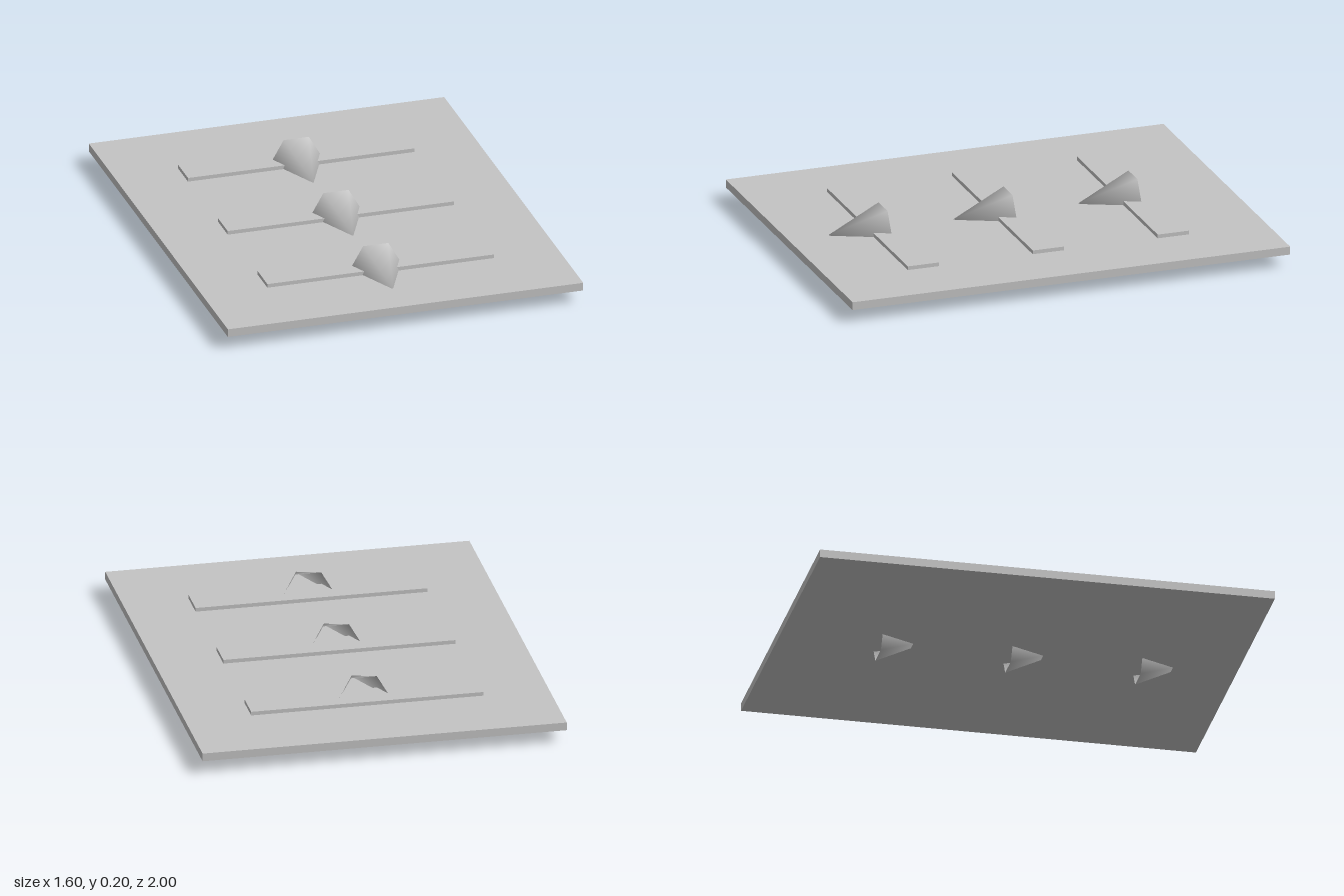
import * as THREE from 'three';
import { mergeVertices } from 'three/addons/utils/BufferGeometryUtils.js';

const R = 0.114;                 // spike radius (hexagon corner)
const LENGTH = 0.25;             // spike length
const AXIS_Y = R * Math.sin(Math.PI / 3);

// Open six-sided spike pointing along +z, smoothed around its sides and tip
function spikeGeometry() {
  let geo = new THREE.ConeGeometry(R, LENGTH, 6, 1, true);
  geo.rotateY(Math.PI / 2);      // corners to left and right, flats on top and bottom
  geo.translate(0, LENGTH / 2, 0);
  geo.rotateX(Math.PI / 2);
  geo.deleteAttribute('normal');
  geo.deleteAttribute('uv');
  geo = mergeVertices(geo, 1e-4);
  geo.computeVertexNormals();
  return geo;
}

export function createModel() {
  const model = new THREE.Group();
  const grey = new THREE.MeshStandardMaterial({ color: 0xc4c4c4, side: THREE.DoubleSide });
  grey.name = 'plain grey';

  const add = (name, geometry, x, y, z) => {
    const mesh = new THREE.Mesh(geometry, grey);
    mesh.name = name;
    mesh.position.set(x, y, z);
    model.add(mesh);
  };

  // Thin base board
  add('board', new THREE.BoxGeometry(1.6, 0.036, 2), 0, 0.077, 0);

  // Three rows, each a low cross bar with a spike through it
  const bar = new THREE.BoxGeometry(1.02, 0.018, 0.143);
  const spike = spikeGeometry();
  ['back', 'middle', 'front'].forEach((row, i) => {
    const z = (i - 1) * 0.571;
    add(row + 'Bar', bar, 0, 0.103, z);
    add(row + 'Spike', spike, 0, AXIS_Y, z);
  });

  return model;
}
